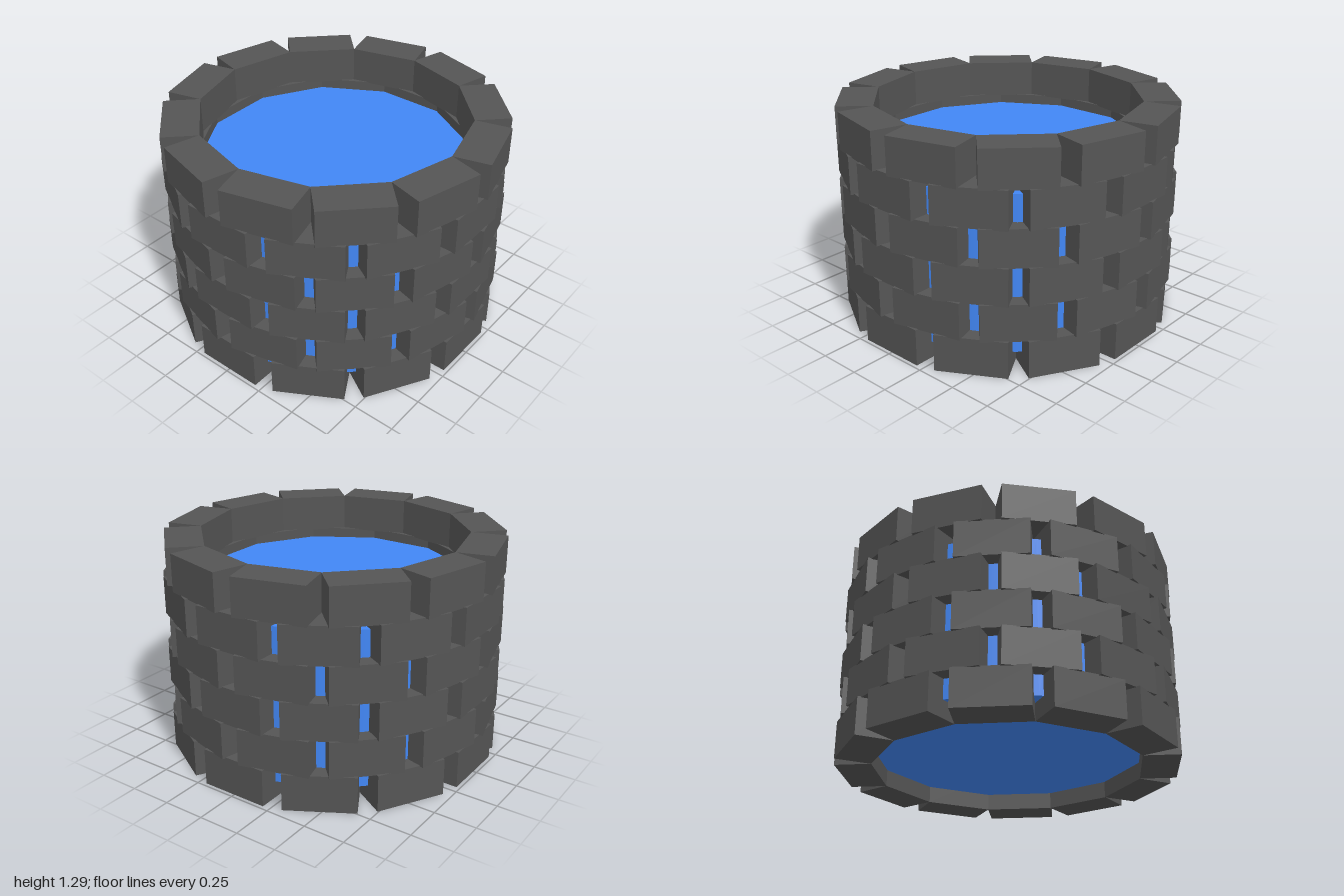
import * as THREE from 'three';

const ROWS = 6, PER_ROW = 12, PITCH = 0.215;
const BLOCK = { width: 0.41, height: 0.22, depth: 0.215, outer: 0.978 };

export function createModel() {
  const model = new THREE.Group();
  model.name = 'well';

  const stone = new THREE.MeshStandardMaterial({ color: 0x555555, flatShading: true });
  const blue = new THREE.MeshStandardMaterial({ color: 0x4287f5 });

  // One block, pushed out to its place on the ring
  const block = new THREE.BoxGeometry(BLOCK.width, BLOCK.height, BLOCK.depth);
  block.translate(0, BLOCK.height / 2, BLOCK.outer - BLOCK.depth / 2);

  // Stacked courses, every other one turned by half a block
  for (let row = 0; row < ROWS; row++) {
    const course = new THREE.Group();
    course.name = `stoneCourse${row + 1}`;
    course.position.y = row * PITCH;
    for (let i = 0; i < PER_ROW; i++) {
      const stoneBlock = new THREE.Mesh(block, stone);
      stoneBlock.name = 'stoneBlock';
      stoneBlock.rotation.y = ((i + (row % 2) / 2) / PER_ROW) * Math.PI * 2;
      course.add(stoneBlock);
    }
    model.add(course);
  }

  // Water body, showing through the gaps between blocks
  const water = new THREE.Mesh(new THREE.CylinderGeometry(0.89, 0.89, 0.92, 32), blue);
  water.name = 'water';
  water.position.y = 0.56;
  model.add(water);

  return model;
}
